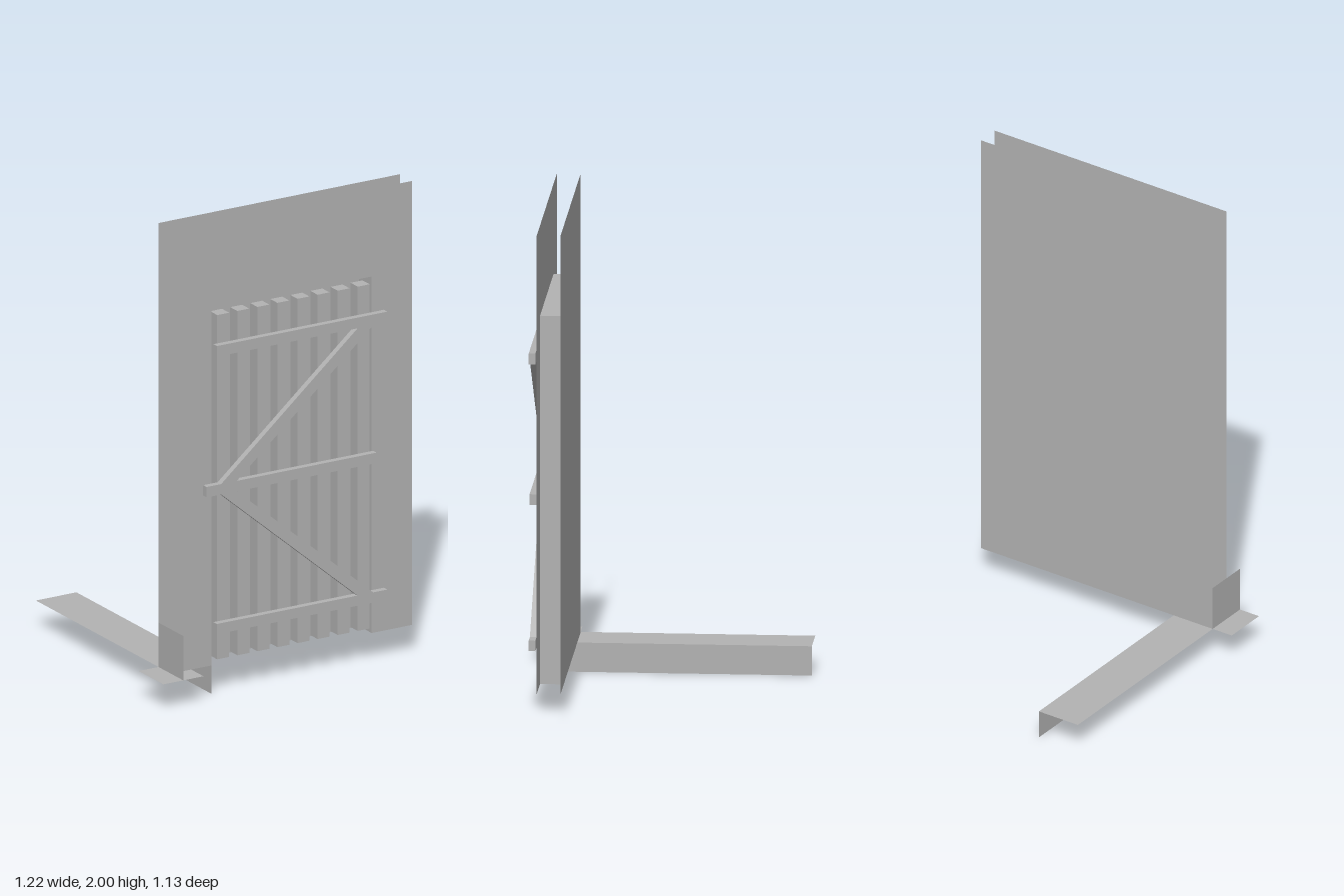
import * as THREE from 'three';

const FLOOR = 0.12, TOP = 2;
const LEFT = -0.52, RIGHT = 0.61;           // wall edges
const DOOR_L = -0.33, DOOR_R = 0.42, DOOR_TOP = 1.63;
const FRONT_Z = 0.47, BACK_Z = 0.375;       // the two wall sheets
const SLAT_Z = 0.485, BAR_Z = 0.512;

export function createModel() {
  const model = new THREE.Group();
  const grey = new THREE.MeshStandardMaterial({ color: 0xb2b2b2, side: THREE.DoubleSide });
  grey.name = 'plain grey';

  const add = (name, geometry) => {
    const mesh = new THREE.Mesh(geometry, grey);
    mesh.name = name;
    model.add(mesh);
    return mesh;
  };
  const polygon = (points) => new THREE.Shape(points.map(([x, y]) => new THREE.Vector2(x, y)));
  const box = (name, x0, x1, y0, y1, z0, z1) =>
    add(name, new THREE.BoxGeometry(x1 - x0, y1 - y0, z1 - z0))
      .position.set((x0 + x1) / 2, (y0 + y1) / 2, (z0 + z1) / 2);
  // Flat sheets: level (constant y) and upright facing sideways (constant x)
  const levelSheet = (name, x0, x1, y, z0, z1) =>
    add(name, new THREE.PlaneGeometry(x1 - x0, z1 - z0).rotateX(-Math.PI / 2))
      .position.set((x0 + x1) / 2, y, (z0 + z1) / 2);
  const sideSheet = (name, x, y0, y1, z0, z1) =>
    add(name, new THREE.PlaneGeometry(z1 - z0, y1 - y0).rotateY(Math.PI / 2))
      .position.set(x, (y0 + y1) / 2, (z0 + z1) / 2);

  // Front wall sheet with the doorway cut up from its lower edge
  add('frontWall', new THREE.ShapeGeometry(polygon([
    [LEFT, FLOOR], [DOOR_L, FLOOR], [DOOR_L, DOOR_TOP], [DOOR_R, DOOR_TOP],
    [DOOR_R, FLOOR], [RIGHT, FLOOR], [RIGHT, TOP], [LEFT, TOP],
  ]))).position.z = FRONT_Z;

  // Solid back wall sheet, facing backwards
  add('backWall', new THREE.PlaneGeometry(RIGHT - LEFT, TOP - FLOOR).rotateY(Math.PI))
    .position.set((LEFT + RIGHT) / 2, (FLOOR + TOP) / 2, BACK_Z);

  // Doorway lining
  levelSheet('doorwayTop', DOOR_L, DOOR_R, DOOR_TOP, BACK_Z, FRONT_Z);
  sideSheet('doorwaySide', DOOR_L, FLOOR, DOOR_TOP, BACK_Z, FRONT_Z);
  sideSheet('doorwaySide', DOOR_R, FLOOR, DOOR_TOP, BACK_Z, FRONT_Z);

  // Upright slats of the door
  for (let i = 0; i < 8; i++) {
    const x = -0.284 + i * 0.094;
    box('slat', x - 0.028, x + 0.028, 0.147, 1.605, 0.43, SLAT_Z);
  }

  // Cross bars
  box('topBar', -0.33, 0.468, 1.44, 1.485, SLAT_Z, BAR_Z);
  box('middleBar', -0.378, 0.418, 0.853, 0.897, SLAT_Z, BAR_Z);
  box('bottomBar', -0.33, 0.468, 0.265, 0.308, SLAT_Z, BAR_Z);

  // Diagonal braces between the bars
  for (const [name, y0, y1] of [['upperBrace', 0.897, 1.44], ['lowerBrace', 0.853, 0.308]]) {
    const shape = polygon([[-0.31, y0], [-0.237, y0], [0.402, y1], [0.329, y1]]);
    add(name, new THREE.ExtrudeGeometry(shape, { depth: BAR_Z - SLAT_Z, bevelEnabled: false }))
      .position.z = SLAT_Z;
  }

  // Long angle strip running backwards: level flange and hanging flange
  levelSheet('stripTop', LEFT, DOOR_L, FLOOR, -0.565, FRONT_Z);
  sideSheet('stripSide', DOOR_L, 0, FLOOR, -0.565, FRONT_Z);

  // Small corner bracket: square foot with an upright fin
  levelSheet('bracketFoot', -0.613, -0.425, FLOOR, BACK_Z, 0.565);
  sideSheet('bracketFin', LEFT, FLOOR, 0.308, BACK_Z, 0.565);

  return model;
}
